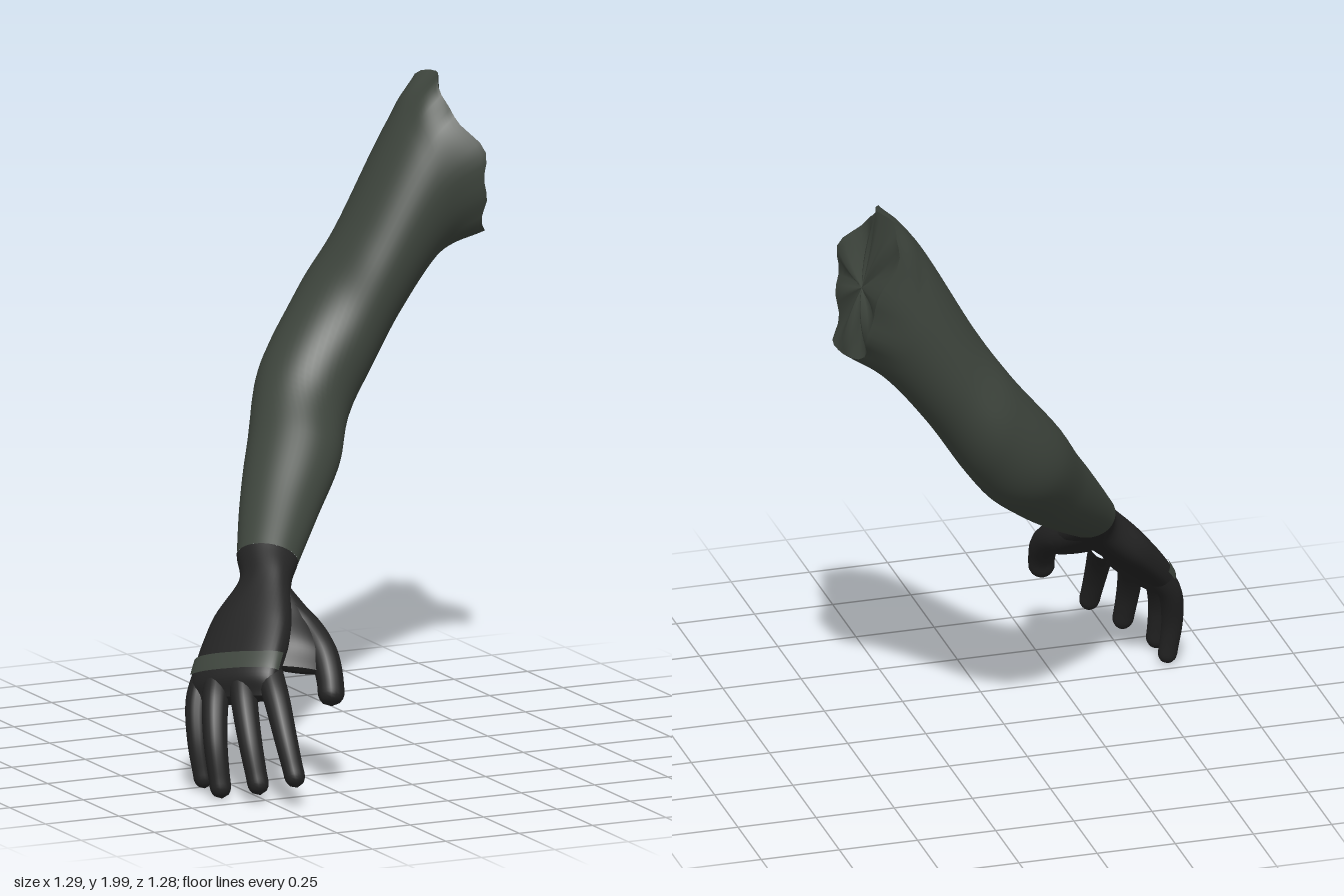
import * as THREE from 'three';

const sleeveMat = new THREE.MeshStandardMaterial({ color: 0x3d443c });
sleeveMat.name = 'dark green cloth';
const gloveMat = new THREE.MeshStandardMaterial({ color: 0x232323 });
gloveMat.name = 'black glove';

// Surface from rings: point(s, a), s running along the part and a around it
function loft(point, nS, nA, a0 = 0, a1 = Math.PI * 2) {
  const closed = a1 - a0 > 6.28;
  const cols = closed ? nA : nA + 1;
  const pos = [], idx = [];
  for (let i = 0; i <= nS; i++) {
    for (let j = 0; j < cols; j++) {
      const p = point(i / nS, a0 + ((a1 - a0) * j) / nA, i);
      pos.push(p.x, p.y, p.z);
    }
  }
  for (let i = 0; i < nS; i++) {
    for (let j = 0; j < nA; j++) {
      const k = closed ? (j + 1) % nA : j + 1;
      const a = i * cols + j, b = i * cols + k;
      idx.push(a, b, a + cols, b, b + cols, a + cols);
    }
  }
  const g = new THREE.BufferGeometry();
  g.setAttribute('position', new THREE.Float32BufferAttribute(pos, 3));
  g.setIndex(idx);
  g.computeVertexNormals();
  return g;
}

// Smooth interpolation of sections: [centre, half-width vector, half-thickness vector]
function sectionCurves(sections) {
  return [0, 1, 2].map(k => new THREE.CatmullRomCurve3(
    sections.map(s => new THREE.Vector3(...s[k])), false, 'catmullrom', 0.5));
}

function sectionPoint(curves, s, a, scale = 1, power = 1) {
  const [c, u, v] = curves.map(q => q.getPoint(s));
  const soft = x => Math.sign(x) * Math.pow(Math.abs(x), power);
  return c.addScaledVector(u, soft(Math.cos(a)) * scale)
    .addScaledVector(v, soft(Math.sin(a)) * scale);
}

const HEM = [[-0.28, 0.65, 0.06], [0.075, 0, 0.06], [-0.03, 0.06, 0.038]];
const ARM = [
  [[0.59, 1.75, -0.42], [0, 0, 0.21], [-0.04, 0.25, -0.03]],
  [[0.465, 1.655, -0.435], [0, 0, 0.19], [-0.05, 0.225, 0]],
  [[0.3, 1.405, -0.43], [0, 0, 0.177], [-0.075, 0.147, 0]],
  [[0.18, 1.225, -0.425], [0.02, 0, 0.172], [-0.07, 0.155, 0]],
  [[0.05, 1.055, -0.365], [0.07, 0, 0.142], [-0.095, 0.108, 0.045]],
  [[-0.06, 0.905, -0.21], [0.114, 0, 0.092], [-0.05, 0.098, 0.06]],
  [[-0.175, 0.77, -0.075], [0.096, 0, 0.077], [-0.04, 0.08, 0.049]],
  HEM,
];
const HAND = [
  HEM,
  [[-0.325, 0.59, 0.135], [0.06, 0.01, 0.06], [-0.025, 0.055, 0.035]],
  [[-0.41, 0.485, 0.22], [0.075, 0.02, 0.115], [-0.038, 0.049, 0.017]],
  [[-0.51, 0.36, 0.315], [0.08, 0.03, 0.13], [-0.04, 0.028, 0.018]],
  [[-0.53, 0.29, 0.345], [0.07, 0.025, 0.12], [-0.025, 0.015, 0.01]],
];
// Flesh between the palm and the thumb
const WEB = [
  [[-0.305, 0.58, 0.155], [0.04, 0, 0.04], [-0.022, 0.042, 0.026]],
  [[-0.3, 0.5, 0.265], [0.078, -0.015, 0.052], [-0.024, 0.04, 0.016]],
  [[-0.315, 0.43, 0.355], [0.085, -0.015, 0.045], [-0.02, 0.034, 0.016]],
  [[-0.34, 0.375, 0.4], [0.075, -0.01, 0.03], [-0.008, 0.013, 0.008]],
];

// Digit: root, bends and tip of each, then root and tip radius
const DIGITS = {
  indexFinger: [[[-0.44, 0.375, 0.4], [-0.452, 0.31, 0.48], [-0.46, 0.2, 0.562], [-0.455, 0.065, 0.63]], 0.044, 0.032],
  middleFinger: [[[-0.5, 0.355, 0.34], [-0.525, 0.29, 0.405], [-0.54, 0.18, 0.477], [-0.535, 0.03, 0.535]], 0.044, 0.033],
  ringFinger: [[[-0.55, 0.335, 0.27], [-0.585, 0.28, 0.322], [-0.612, 0.17, 0.38], [-0.61, 0.003, 0.42]], 0.044, 0.033],
  littleFinger: [[[-0.56, 0.34, 0.2], [-0.598, 0.27, 0.225], [-0.616, 0.16, 0.262], [-0.605, 0.008, 0.29]], 0.04, 0.03],
  thumb: [[[-0.32, 0.54, 0.2], [-0.265, 0.48, 0.29], [-0.248, 0.42, 0.38], [-0.252, 0.35, 0.44], [-0.262, 0.27, 0.475]], 0.054, 0.041],
};

function digit(points, r0, r1) {
  const n = 40;
  const curve = new THREE.CatmullRomCurve3(points.map(p => new THREE.Vector3(...p)));
  const frames = curve.computeFrenetFrames(n);
  return loft((s, a, i) => {
    const tip = Math.max(0, (s - 0.9) / 0.1);
    const r = THREE.MathUtils.lerp(r0, r1, Math.min(1, s * 1.2)) * Math.sqrt(Math.max(0, 1 - tip * tip));
    return curve.getPointAt(s)
      .addScaledVector(frames.normals[i], r * Math.cos(a))
      .addScaledVector(frames.binormals[i], r * Math.sin(a));
  }, n, 16);
}

export function createModel() {
  const model = new THREE.Group();
  model.name = 'glovedArm';
  const add = (parent, name, geometry, material) => {
    const mesh = new THREE.Mesh(geometry, material);
    mesh.name = name;
    parent.add(mesh);
  };

  // Sleeve, crumpled towards its torn shoulder end
  const arm = sectionCurves(ARM);
  const sleevePoint = (s, a) => {
    const k = Math.max(0, 1 - s * 7);
    const frontFold = Math.max(0, Math.cos(a - 0.85)) ** 6;
    const backFold = Math.max(0, Math.cos(a - 2.15)) ** 6;
    const ripple = 0.025 * Math.sin(5 * a + 0.6) + 0.015 * Math.sin(11 * a) - 0.08 * frontFold;
    const p = sectionPoint(arm, s, a, 1 + k * ripple);
    p.x += k * (0.012 * Math.sin(4 * a + 1) + 0.008 * Math.sin(9 * a) - 0.04 * frontFold - 0.05 * backFold);
    return p;
  };
  add(model, 'sleeve', loft(sleevePoint, 70, 48), sleeveMat);

  // Pleated cloth closing the shoulder end
  const capCentre = new THREE.Vector3(0.58, 1.73, -0.42);
  add(model, 'shoulderCap', loft((s, a) => {
    const p = capCentre.clone().lerp(sleevePoint(0, a), s);
    p.x += s * (1 - s) * (0.035 * Math.sin(7 * a) + 0.02 * Math.sin(12 * a + 1));
    return p;
  }, 8, 48), sleeveMat);

  // Glove: wrist and palm, closed at the finger roots
  const hand = new THREE.Group();
  hand.name = 'glove';
  model.add(hand);
  const palm = sectionCurves(HAND);
  const palmPoint = (s, a, scale = 1) =>
    sectionPoint(palm, s, a, scale, 1 - 0.2 * Math.min(1, s * 2));
  add(hand, 'palm', loft((s, a) => palmPoint(s, a), 36, 40), gloveMat);
  const palmEnd = new THREE.Vector3(-0.535, 0.275, 0.35);
  add(hand, 'palmEnd', loft((s, a) => palmPoint(1, a).lerp(palmEnd, s), 3, 40), gloveMat);

  const web = sectionCurves(WEB);
  add(hand, 'thumbWeb', loft((s, a) => sectionPoint(web, s, a), 24, 32), gloveMat);
  const webEnd = new THREE.Vector3(-0.34, 0.37, 0.4);
  add(hand, 'thumbWebEnd', loft((s, a) => sectionPoint(web, 1, a).lerp(webEnd, s), 2, 32), gloveMat);

  for (const [name, [points, r0, r1]] of Object.entries(DIGITS)) {
    add(hand, name, digit(points, r0, r1), gloveMat);
  }

  // Cloth band lying over the knuckles, wider on the index side
  add(hand, 'knuckleBand', loft((s, a) => {
    const start = 2.6 + 0.08 * Math.min(1, a);
    return palmPoint(THREE.MathUtils.lerp(start, 3, s) / 4, a, 1.05);
  }, 6, 30, 0.1, Math.PI - 0.1), sleeveMat);

  return model;
}
